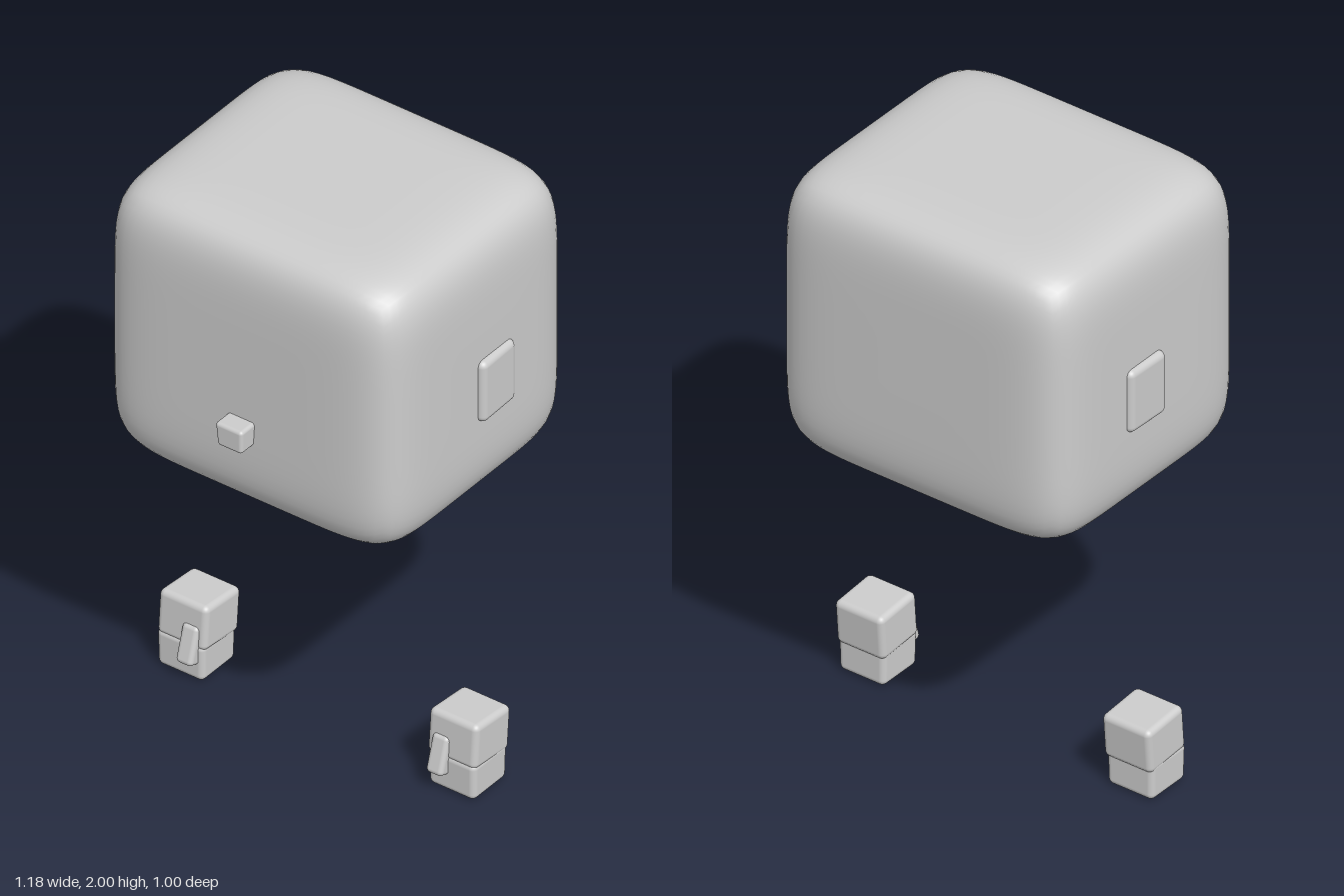
import * as THREE from 'three';
import { RoundedBoxGeometry } from 'three/addons/geometries/RoundedBoxGeometry.js';
import { mergeVertices } from 'three/addons/utils/BufferGeometryUtils.js';

const grey = new THREE.MeshStandardMaterial({ color: 0xcccccc });
grey.name = 'plain grey';

// Pillowy box: cube points pushed onto a superellipsoid
function softBox(w, h, d, power) {
  let geo = new THREE.BoxGeometry(2, 2, 2, 28, 28, 28);
  geo.deleteAttribute('uv');
  geo.deleteAttribute('normal');
  geo = mergeVertices(geo);
  const pos = geo.attributes.position;
  const v = new THREE.Vector3();
  for (let i = 0; i < pos.count; i++) {
    v.fromBufferAttribute(pos, i);
    const n = Math.pow(
      Math.abs(v.x) ** power + Math.abs(v.y) ** power + Math.abs(v.z) ** power, 1 / power);
    pos.setXYZ(i, (v.x / n) * w / 2, (v.y / n) * h / 2, (v.z / n) * d / 2);
  }
  geo.computeVertexNormals();
  return geo;
}

// Rounded block, narrowed towards the bottom by taper
function block(w, h, d, radius, taper = 0) {
  const geo = new RoundedBoxGeometry(w, h, d, 4, radius);
  const pos = geo.attributes.position;
  for (let i = 0; i < pos.count; i++) {
    const s = 1 - taper * (0.5 - pos.getY(i) / h);
    pos.setX(i, pos.getX(i) * s);
    pos.setZ(i, pos.getZ(i) * s);
  }
  return geo;
}

function add(parent, name, geo, x, y, z, tilt = 0) {
  const mesh = new THREE.Mesh(geo, grey);
  mesh.name = name;
  mesh.position.set(x, y, z);
  mesh.rotation.x = tilt;
  parent.add(mesh);
  return mesh;
}

export function createModel() {
  const model = new THREE.Group();
  model.name = 'characterParts';

  // Head, nose and neck
  add(model, 'head', softBox(1.1, 0.99, 0.94, 7), 0, 1.505, -0.035);
  add(model, 'nose', block(0.1, 0.085, 0.12, 0.012, 0.1), 0, 1.328, 0.44);
  add(model, 'neck', block(0.3, 0.3, 0.275, 0.03, 0.05), 0, 1.02, -0.047);

  // Ears and floating hands, one pair per side
  for (const [side, s] of [['left', 1], ['right', -1]]) {
    const ear = add(model, side + 'Ear', block(0.08, 0.22, 0.17, 0.022), s * 0.53, 1.445, -0.087);
    ear.rotation.y = s * 0.03;

    const hand = new THREE.Group();
    hand.name = side + 'Hand';
    add(hand, 'palm', block(0.18, 0.155, 0.175, 0.02), s * 0.5, 0.184, -0.025, -0.08);
    add(hand, 'fingers', block(0.175, 0.13, 0.17, 0.02, 0.03), s * 0.502, 0.066, -0.015);
    add(hand, 'thumb', block(0.06, 0.13, 0.06, 0.015), s * 0.463, 0.126, 0.06, -0.3);
    model.add(hand);
  }
  return model;
}
